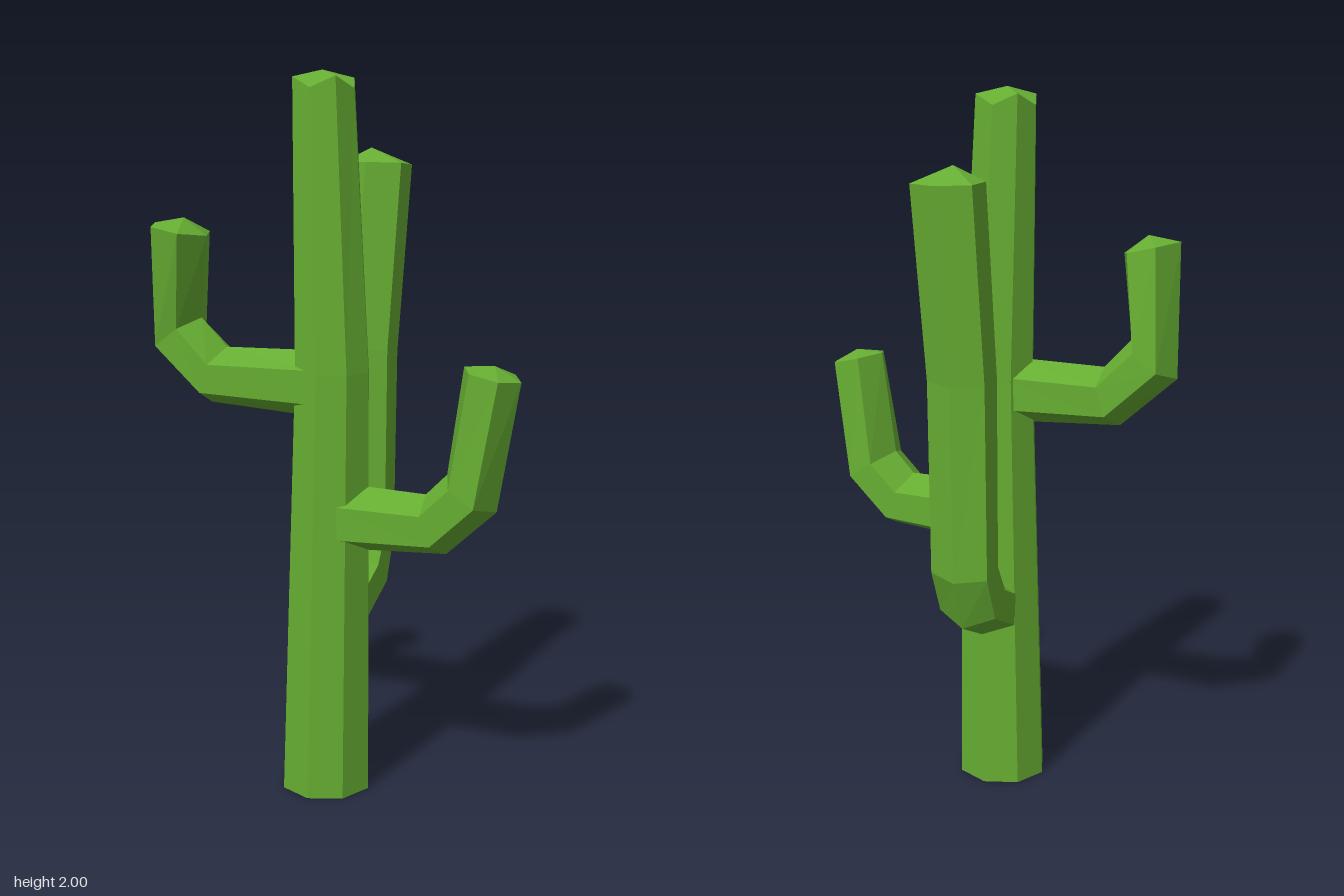
import * as THREE from 'three';

// Closed loft through rings. Each ring: [innerPoint, outerPoint, halfWidth, liftOfOddCorners].
// 'side' is the direction of the ring's width; 'tip' closes the far end.
function loft(name, sides, side, rings, tip, material) {
  const s = new THREE.Vector3(...side);
  const centres = [];
  const loops = rings.map(([inner, outer, w, lift = 0]) => {
    const a = new THREE.Vector3(...inner), b = new THREE.Vector3(...outer);
    const c = a.clone().add(b).multiplyScalar(0.5);
    const u = b.sub(c);
    centres.push(c);
    return Array.from({ length: sides }, (_, j) => {
      const t = (j / sides) * Math.PI * 2;
      const p = c.clone().addScaledVector(u, Math.cos(t)).addScaledVector(s, w * Math.sin(t));
      if (j % 2) p.y += lift;
      return p;
    });
  });
  const pos = [];
  const tri = (...ps) => ps.forEach((p) => pos.push(p.x, p.y, p.z));
  const apex = new THREE.Vector3(...tip);
  const last = loops[loops.length - 1];
  for (let j = 0; j < sides; j++) {
    const k = (j + 1) % sides;
    tri(centres[0], loops[0][k], loops[0][j]);
    for (let i = 0; i < loops.length - 1; i++) {
      const p = loops[i], q = loops[i + 1];
      tri(p[j], p[k], q[k]);
      tri(p[j], q[k], q[j]);
    }
    tri(last[j], last[k], apex);
  }
  const geo = new THREE.BufferGeometry();
  geo.setAttribute('position', new THREE.Float32BufferAttribute(pos, 3));
  geo.computeVertexNormals();
  const mesh = new THREE.Mesh(geo, material);
  mesh.name = name;
  return mesh;
}

export function createModel() {
  const group = new THREE.Group();
  group.name = 'cactus';
  const green = new THREE.MeshStandardMaterial({ color: 0x66ad32, flatShading: true });
  green.name = 'cactus green';

  // Trunk: tapering octagon with a zigzag crown
  group.add(loft('trunk', 8, [1, 0, 0], [
    [[-0.03, 0, -0.03], [-0.03, 0, 0.23], 0.13],
    [[-0.01, 1.2, -0.01], [-0.01, 1.2, 0.205], 0.108],
    [[-0.033, 1.95, 0.01], [-0.033, 1.95, 0.185], 0.088, 0.03],
  ], [-0.04, 2.0, 0.09], green));

  // Arm on the model's right, tip leaning forward
  group.add(loft('rightArm', 6, [0, 0, 1], [
    [[-0.04, 1.255, 0.11], [-0.04, 1.07, 0.11], 0.09],
    [[-0.33, 1.25, 0.108], [-0.38, 1.09, 0.108], 0.11],
    [[-0.405, 1.33, 0.115], [-0.535, 1.23, 0.125], 0.1],
    [[-0.365, 1.56, 0.15], [-0.52, 1.595, 0.165], 0.105],
  ], [-0.43, 1.61, 0.16], green));

  // Lower arm on the model's left
  group.add(loft('leftArm', 6, [0, 0, -1], [
    [[0.03, 0.885, 0.095], [0.03, 0.7, 0.095], 0.108],
    [[0.27, 0.88, 0.105], [0.33, 0.72, 0.105], 0.108],
    [[0.33, 0.94, 0.105], [0.47, 0.85, 0.105], 0.108],
    [[0.375, 1.235, 0.11], [0.53, 1.2, 0.105], 0.088],
  ], [0.46, 1.24, 0.11], green));

  // Tall arm at the back
  group.add(loft('backArm', 6, [-1, 0, 0], [
    [[-0.02, 0.62, 0.04], [-0.02, 0.43, 0.04], 0.1],
    [[-0.02, 0.65, -0.02], [-0.02, 0.52, -0.15], 0.1],
    [[-0.02, 0.71, -0.065], [-0.02, 0.67, -0.205], 0.1],
    [[-0.015, 1.24, -0.062], [-0.015, 1.22, -0.215], 0.1],
    [[0.005, 1.76, -0.095], [0.005, 1.75, -0.26], 0.105],
  ], [-0.01, 1.8, -0.175], green));

  return group;
}
